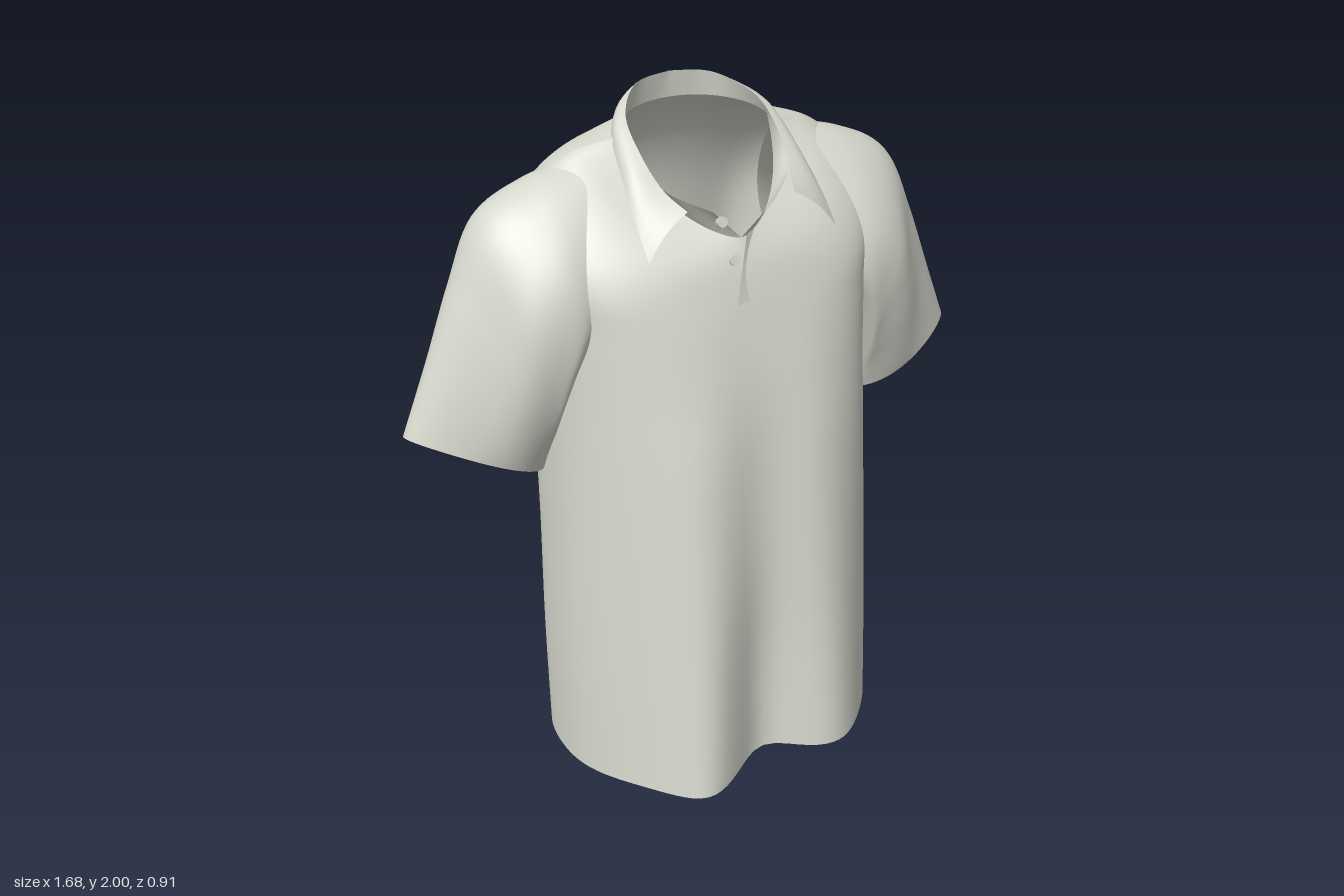
import * as THREE from 'three';

// Smooth (Catmull-Rom) sampling of a list of key rows, t in 0..1
function sample(keys, t) {
  const f = Math.min(Math.max(t, 0), 1) * (keys.length - 1);
  const i = Math.min(Math.floor(f), keys.length - 2), k = f - i;
  const at = n => keys[Math.min(Math.max(n, 0), keys.length - 1)];
  const [a, b, c, d] = [at(i - 1), at(i), at(i + 1), at(i + 2)];
  return b.map((p, n) => {
    const m0 = (c[n] - a[n]) / 2, m1 = (d[n] - p) / 2, e = c[n] - p;
    return p + k * (m0 + k * (3 * e - 2 * m0 - m1 + k * (m0 + m1 - 2 * e)));
  });
}

// Grid surface from point(u, v); closed surfaces wrap around in u
function surface(point, nu, nv, closed) {
  const pos = [], index = [], cols = closed ? nu : nu + 1;
  for (let j = 0; j <= nv; j++)
    for (let i = 0; i < cols; i++) pos.push(...point(i / nu, j / nv));
  for (let j = 0; j < nv; j++)
    for (let i = 0; i < nu; i++) {
      const a = j * cols + i, b = j * cols + (i + 1) % cols;
      index.push(a, b, b + cols, a, b + cols, a + cols);
    }
  const g = new THREE.BufferGeometry();
  g.setAttribute('position', new THREE.Float32BufferAttribute(pos, 3));
  g.setIndex(index);
  g.computeVertexNormals();
  return g;
}

const bump = (x, c, w) => Math.exp(-(((x - c) / w) ** 2));
const pow = (v, p) => Math.sign(v) * Math.abs(v) ** p;
const mix = THREE.MathUtils.lerp;

// Torso rings, hem to neck:
// front y, side y, back y, front z, back z, half width, side z, roundness, front fold, back fold
const torsoKeys = [
  [0.13, 0.05, 0.00, 0.410, -0.395, 0.495, -0.02, 0.86, 1.0, 0.2],
  [0.45, 0.42, 0.40, 0.385, -0.410, 0.488, -0.03, 0.86, 0.8, 0.6],
  [0.80, 0.80, 0.80, 0.360, -0.425, 0.472, -0.04, 0.85, 0.5, 0.8],
  [1.10, 1.10, 1.10, 0.325, -0.430, 0.460, -0.06, 0.80, 0.3, 1.0],
  [1.30, 1.30, 1.32, 0.290, -0.430, 0.452, -0.07, 0.74, 0.12, 0.9],
  [1.45, 1.50, 1.50, 0.255, -0.420, 0.455, -0.08, 0.70, 0.05, 0.6],
  [1.54, 1.67, 1.64, 0.232, -0.395, 0.475, -0.10, 0.74, 0, 0.3],
  [1.60, 1.79, 1.76, 0.214, -0.350, 0.432, -0.10, 0.82, 0, 0.1],
  [1.64, 1.87, 1.86, 0.198, -0.290, 0.335, -0.09, 0.95, 0, 0],
  [1.68, 1.90, 1.93, 0.178, -0.220, 0.205, -0.06, 1.3, 0, 0],
];
function torsoPoint(u, v) {
  const [yf, ys, yb, zf, zb, w, zc, round, ff, fb] = sample(torsoKeys, v);
  const a = u * Math.PI * 2, s = Math.sin(a), c = Math.cos(a);
  const p = c > 0 ? round : Math.min(round, 1); // pointed only at the front
  const x = w * pow(s, p), k = pow(c, p);
  const y = ys + (c > 0 ? yf - ys : ys - yb) * c;
  let z = zc + (c > 0 ? zf - zc : zc - zb) * k;
  const weight = Math.min(1, Math.abs(k) * 1.6);
  // Hanging folds, spreading outwards towards the hem
  if (c > 0) z += ff * weight * (0.085 * bump(x, mix(-0.25, -0.08, v), 0.12)
    + 0.05 * bump(x, mix(0.23, 0.12, v), 0.13) - 0.062 * bump(x, mix(0.0, 0.03, v), 0.1));
  else z -= fb * weight * (0.04 * bump(x, -0.23, 0.1) + 0.055 * bump(x, 0.3, 0.1)
    - 0.04 * bump(x, 0.03, 0.13));
  return [x, y, z];
}

// Sleeve rings, shoulder to cuff: outer x, outer y, inner x, inner y, centre z, half depth
const sleeveKeys = [
  [0.28, 1.86, 0.34, 1.42, -0.10, 0.19],
  [0.45, 1.82, 0.40, 1.33, -0.10, 0.24],
  [0.59, 1.745, 0.43, 1.22, -0.10, 0.238],
  [0.675, 1.58, 0.45, 1.14, -0.095, 0.208],
  [0.757, 1.385, 0.465, 1.08, -0.09, 0.17],
  [0.84, 1.19, 0.474, 1.025, -0.09, 0.138],
];
function sleevePoint(u, v) {
  const [ox, oy, ix, iy, zc, d] = sample(sleeveKeys, v);
  const a = u * Math.PI * 2, s = Math.sin(a), c = Math.cos(a), k = 0.5 + 0.5 * c;
  const crease = 0.012 * Math.sin(v * Math.PI) * Math.sin(a * 5 + v * 4) * (1 - k);
  // Egg-shaped section, narrower on the outside, hanging lower at the back
  return [mix(ix, ox, k) + crease, mix(iy, oy, k) - 0.02 * s * v,
    zc - (d + crease) * s * (1 - 0.32 * c)];
}

// Half collar lines from centre back to front
const foldLine = [[0, 2.0, -0.215], [0.11, 1.99, -0.185], [0.185, 1.945, -0.09],
  [0.196, 1.88, 0.01], [0.178, 1.81, 0.10]];
const leafTop = [...foldLine, [0.15, 1.775, 0.18]];
const standTop = [...foldLine, [0.085, 1.765, 0.19]];
const leafEdge = [[0, 1.93, -0.238], [0.135, 1.93, -0.205], [0.222, 1.905, -0.10],
  [0.252, 1.82, 0.03], [0.263, 1.74, 0.13], [0.265, 1.67, 0.2]];

// Strip from a lower to an upper half line, mirrored round the back of the neck
function collarStrip(lowerPoint, upper, puff) {
  return surface((u, v) => {
    const t = 2 * u - 1, side = t < 0 ? -1 : 1;
    const a = lowerPoint(Math.abs(t)), b = sample(upper, Math.abs(t));
    const p = a.map((n, i) => mix(n, b[i], v));
    const lift = puff * Math.sin(v * Math.PI);
    return [side * (p[0] + lift * Math.min(1, p[0] * 6)), p[1] + lift, p[2]];
  }, 64, 6, false);
}

export function createModel() {
  const model = new THREE.Group();
  model.name = 'poloShirt';
  const fabric = new THREE.MeshStandardMaterial({ color: 0xd6d8cd, side: THREE.DoubleSide });
  fabric.name = 'paleFabric';
  const add = (name, geometry) => {
    const mesh = new THREE.Mesh(geometry, fabric);
    mesh.name = name;
    model.add(mesh);
    return mesh;
  };

  add('torso', surface(torsoPoint, 128, 90, true));

  // Sleeves, mirrored
  for (const side of [1, -1]) {
    const sleeve = surface((u, v) => {
      const [x, y, z] = sleevePoint(side * u, v);
      return [side * x, y, z];
    }, 64, 40, true);
    add(side > 0 ? 'leftSleeve' : 'rightSleeve', sleeve);
  }

  // Collar: upright stand rising from the neckline, with a folded leaf over it
  add('collarStand', collarStrip(t => torsoPoint(0.5 - 0.5 * t, 1), standTop, 0));
  add('collarLeaf', collarStrip(t => sample(leafEdge, t), leafTop, 0.008));

  // Overlapping front placket
  add('placket', surface((u, v) => {
    const y = mix(1.53, 1.69, v);
    const x = mix(mix(-0.045, 0.012, v), 0.05, u);
    return [x, y, 0.242 - 0.38 * (y - 1.54) - 0.025 * u];
  }, 6, 6, false));

  // Buttons
  for (const [x, y, z] of [[-0.06, 1.735, 0.187], [-0.032, 1.635, 0.203]]) {
    const button = add('button', new THREE.CylinderGeometry(0.014, 0.014, 0.012, 20));
    button.position.set(x, y, z);
    button.rotation.x = Math.PI / 2 - 0.3;
  }
  return model;
}
